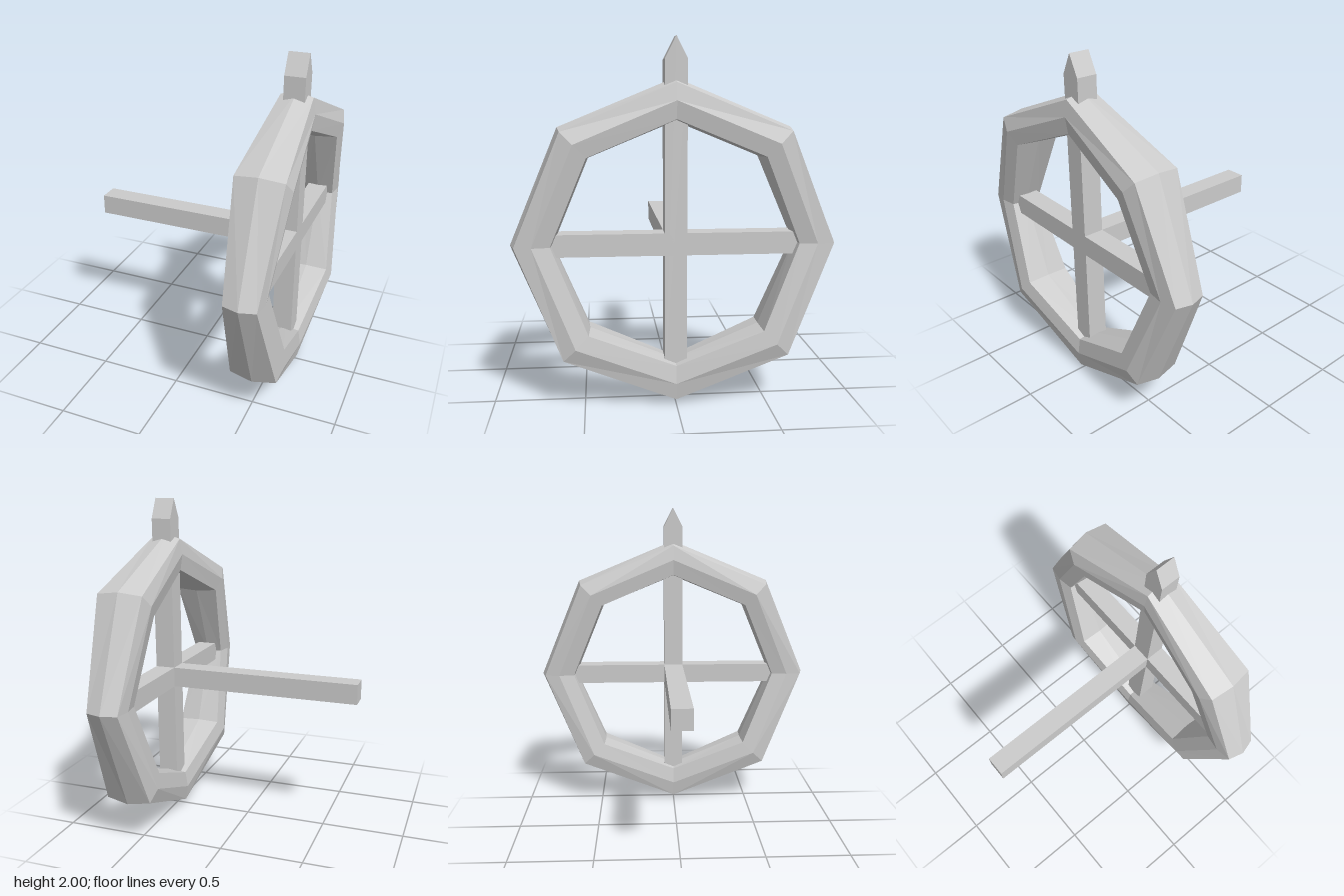
import * as THREE from 'three';

const MAT = new THREE.MeshStandardMaterial({ color: 0xcccccc, flatShading: true });
const CX = 0.533, CY = 0.895, HALF = 0.061;

function add(group, name, geometry, x, y, z) {
  const mesh = new THREE.Mesh(geometry, MAT);
  mesh.name = name;
  mesh.position.set(x, y, z);
  group.add(mesh);
}

// Octagonal rim: eight-point section swept round x, wider at the diagonal corners
function rimGeometry() {
  const N = 8;
  // [radius, fraction of the half width], from outer ridge over +x to inner ridge and back
  const half = [[0.89, 0], [0.864, 0.86], [0.77, 1], [0.672, 0.86], [0.66, 0]];
  const section = [...half, ...half.slice(1, 4).reverse().map(([r, w]) => [r, -w])];
  const M = section.length;
  const positions = [], index = [];
  for (let i = 0; i < N; i++) {
    const a = (i / N) * Math.PI * 2;
    const halfWidth = i % 2 ? 0.16 : 0.109;
    for (const [r, w] of section) positions.push(w * halfWidth, r * Math.cos(a), r * Math.sin(a));
    for (let j = 0; j < M; j++) {
      const i2 = (i + 1) % N, j2 = (j + 1) % M;
      const A = i * M + j, B = i2 * M + j, C = i2 * M + j2, D = i * M + j2;
      // mirror the split of alternate segments
      if (i % 2) index.push(A, B, C, A, C, D);
      else index.push(A, B, D, B, C, D);
    }
  }
  let g = new THREE.BufferGeometry();
  g.setAttribute('position', new THREE.Float32BufferAttribute(positions, 3));
  g.setIndex(index);
  g = g.toNonIndexed();
  g.computeVertexNormals();
  return g;
}

// Upright spoke with a wedge-shaped tip, extruded along x
function uprightGeometry() {
  const shape = new THREE.Shape([
    [-HALF, 0.13], [HALF, 0.13], [HALF, 1.88], [0, 2], [-HALF, 1.88],
  ].map(([z, y]) => new THREE.Vector2(z, y)));
  const depth = HALF * 2;
  const g = new THREE.ExtrudeGeometry(shape, { depth, bevelEnabled: false });
  g.translate(0, 0, -depth / 2);
  g.rotateY(Math.PI / 2);
  return g;
}

export function createModel() {
  const model = new THREE.Group();
  model.name = 'wheel';

  add(model, 'rim', rimGeometry(), CX, CY, 0);
  add(model, 'uprightSpoke', uprightGeometry(), CX, 0, 0);
  add(model, 'crossSpoke', new THREE.BoxGeometry(HALF * 2, HALF * 2, 1.54), CX, CY, 0);

  // Axle from its free end to the hub
  const start = -0.697;
  add(model, 'axle', new THREE.BoxGeometry(CX - start, HALF * 2, HALF * 2), (CX + start) / 2, CY, 0);

  return model;
}
